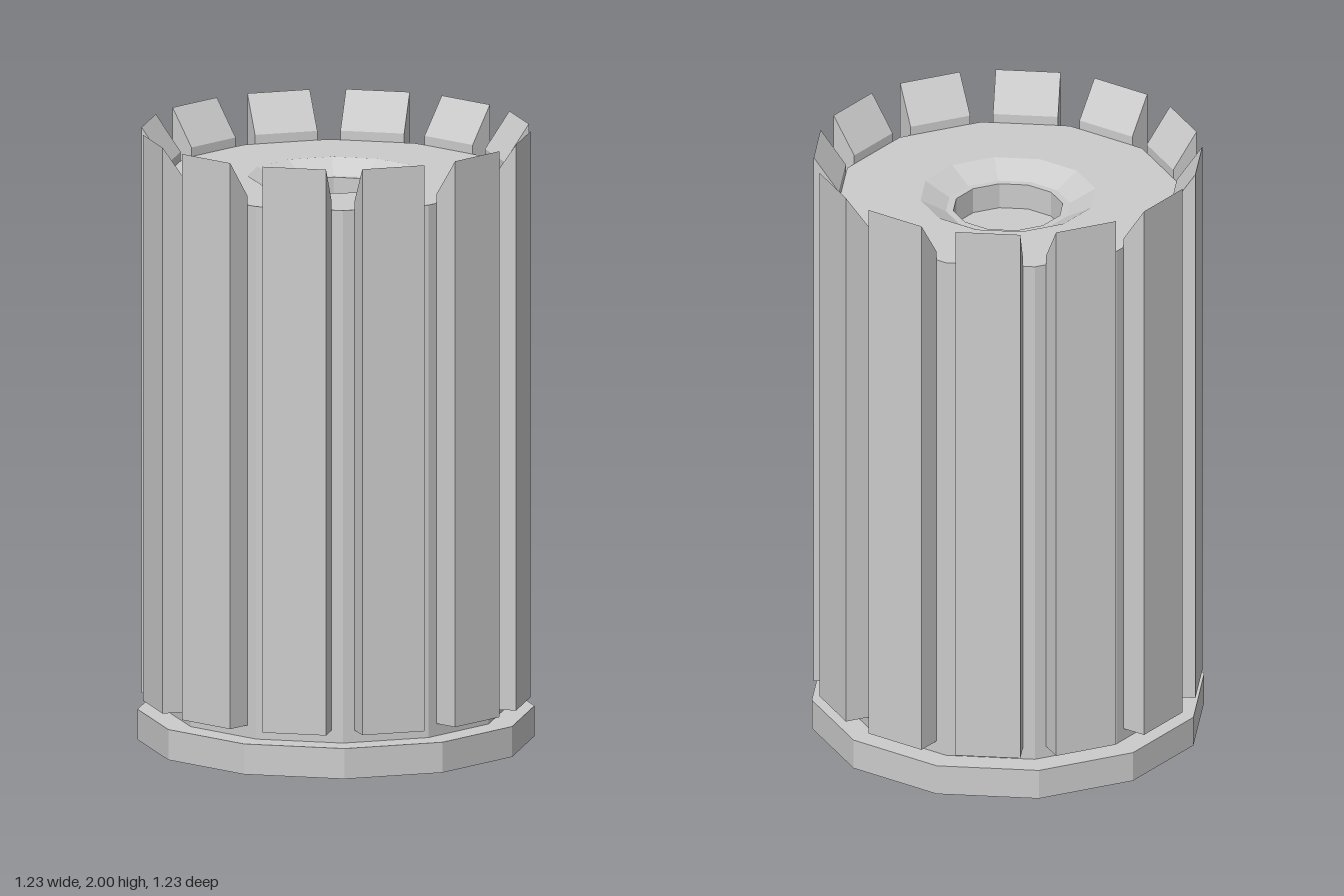
import * as THREE from 'three';

const SIDES = 12;
const STEP = (Math.PI * 2) / SIDES;
const material = new THREE.MeshStandardMaterial({ color: 0xcccccc, flatShading: true });

// Twelve-sided turned solid; radii are measured to the middle of the flats
function turned(name, profile) {
  const points = profile.map(([r, y]) => new THREE.Vector2(r / Math.cos(STEP / 2), y));
  const mesh = new THREE.Mesh(new THREE.LatheGeometry(points, SIDES, STEP / 2), material);
  mesh.name = name;
  return mesh;
}

export function createModel() {
  const group = new THREE.Group();
  group.name = 'ribbedKnob';

  // Hollow body with a funnel-shaped recess in the top
  group.add(turned('body', [
    [0, 1.65], [0.47, 1.65], [0.47, 0.05], [0.535, 0.05], [0.535, 1.85],
    [0.275, 1.85], [0.195, 1.805], [0.172, 1.805], [0.172, 1.72], [0, 1.72],
  ]));

  // Base ring, open in the middle
  group.add(turned('baseRing', [
    [0.535, 0], [0.617, 0], [0.617, 0.1], [0.535, 0.1], [0.535, 0],
  ]));

  // Upright ribs with tops sloping inward, one on each flat
  const width = 0.21;
  const section = new THREE.Shape([
    [0.535, 0.14], [0.617, 0.14], [0.617, 2], [0.535, 1.88],
  ].map(([x, y]) => new THREE.Vector2(x, y)));
  const ribGeometry = new THREE.ExtrudeGeometry(section, { depth: width, bevelEnabled: false });
  ribGeometry.translate(0, 0, -width / 2);
  ribGeometry.rotateY(-Math.PI / 2);

  const ribs = new THREE.Group();
  ribs.name = 'ribs';
  for (let i = 0; i < SIDES; i++) {
    const rib = new THREE.Mesh(ribGeometry, material);
    rib.name = 'rib';
    rib.rotation.y = i * STEP;
    ribs.add(rib);
  }
  group.add(ribs);

  return group;
}
